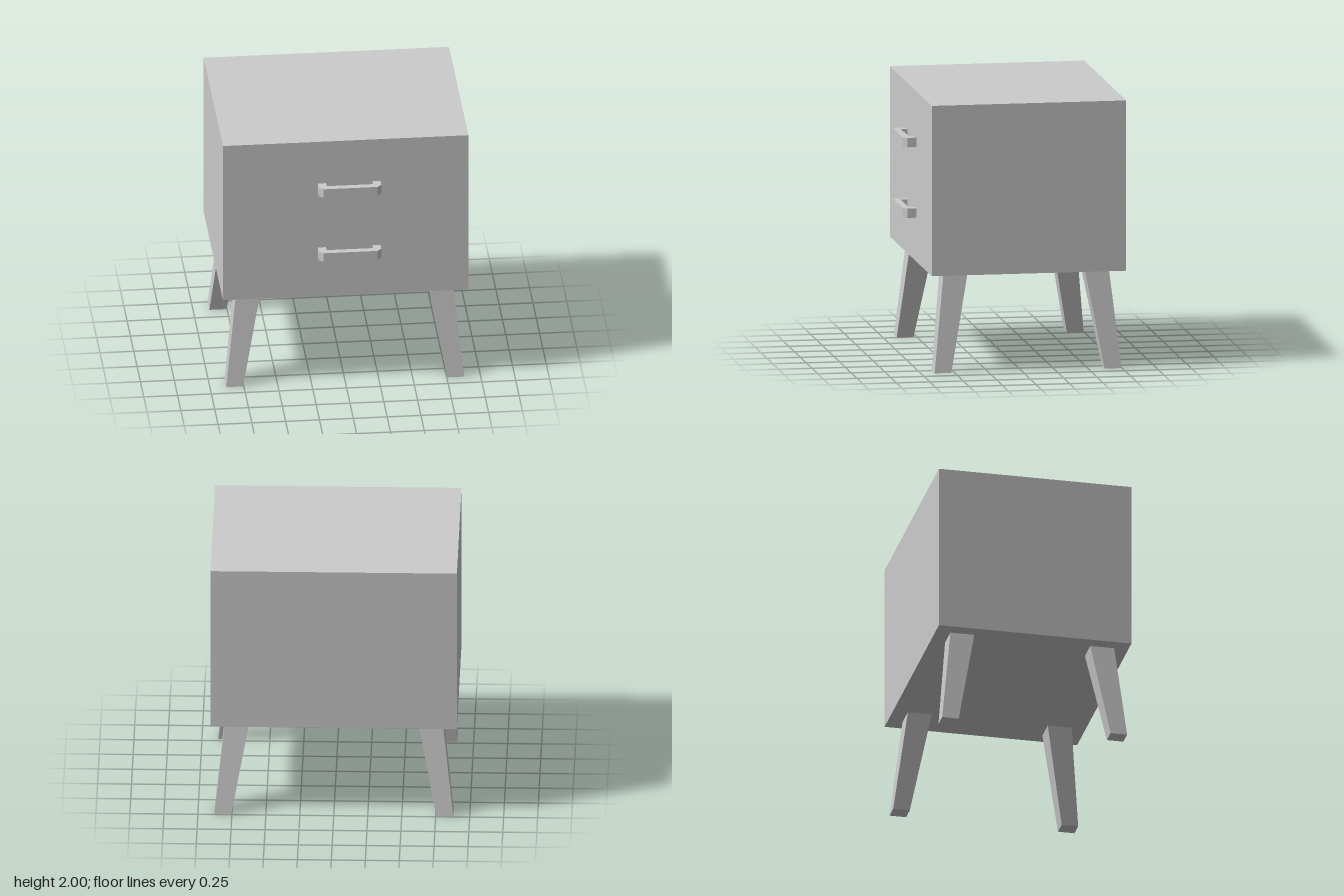
import * as THREE from 'three';

const material = new THREE.MeshStandardMaterial({ color: 0xcccccc, flatShading: true });
const FLOOR_Y = 0.73, BODY_Z = -0.05, FRONT_Z = 0.675;

function addMesh(group, name, geometry) {
  const mesh = new THREE.Mesh(geometry, material);
  mesh.name = name;
  group.add(mesh);
  return mesh;
}

// Square leg that tapers downward while splaying outward on both axes
function legGeometry(sx, sz) {
  const geometry = new THREE.BoxGeometry(1, 1, 1);
  const p = geometry.attributes.position;
  for (let i = 0; i < p.count; i++) {
    const top = p.getY(i) > 0;
    const width = top ? 0.18 : 0.125;
    const cx = top ? 0.71 : 0.8175, cz = top ? 0.5275 : 0.635;
    p.setXYZ(i,
      sx * cx + p.getX(i) * width,
      top ? FLOOR_Y : 0,
      sz * cz + p.getZ(i) * width - 0.0475);
  }
  geometry.computeVertexNormals();
  return geometry;
}

// Bracket outline in x and z (chamfered outer corners), extruded to its height
function handleGeometry() {
  const outline = [
    [-0.205, FRONT_Z], [-0.145, FRONT_Z], [-0.145, 0.725], [0.2, 0.725],
    [0.2, FRONT_Z], [0.257, FRONT_Z], [0.257, 0.743], [0.225, 0.775],
    [-0.172, 0.775], [-0.205, 0.743],
  ];
  const shape = new THREE.Shape(outline.map(([x, z]) => new THREE.Vector2(x, z)));
  return new THREE.ExtrudeGeometry(shape, { depth: 0.07, bevelEnabled: false })
    .rotateX(Math.PI / 2);
}

export function createModel() {
  const model = new THREE.Group();
  model.name = 'nightstand';

  // Cabinet body
  const height = 2 - FLOOR_Y;
  addMesh(model, 'cabinet', new THREE.BoxGeometry(1.814, height, 1.452))
    .position.set(0, FLOOR_Y + height / 2, BODY_Z);

  // Drawer handles, placed by their top edge
  const handle = handleGeometry();
  addMesh(model, 'upperHandle', handle).position.y = 1.657;
  addMesh(model, 'lowerHandle', handle).position.y = 1.13;

  // Four splayed legs
  for (const sx of [-1, 1])
    for (const sz of [-1, 1])
      addMesh(model, (sz > 0 ? 'front' : 'back') + (sx > 0 ? 'Left' : 'Right') + 'Leg', legGeometry(sx, sz));

  return model;
}
